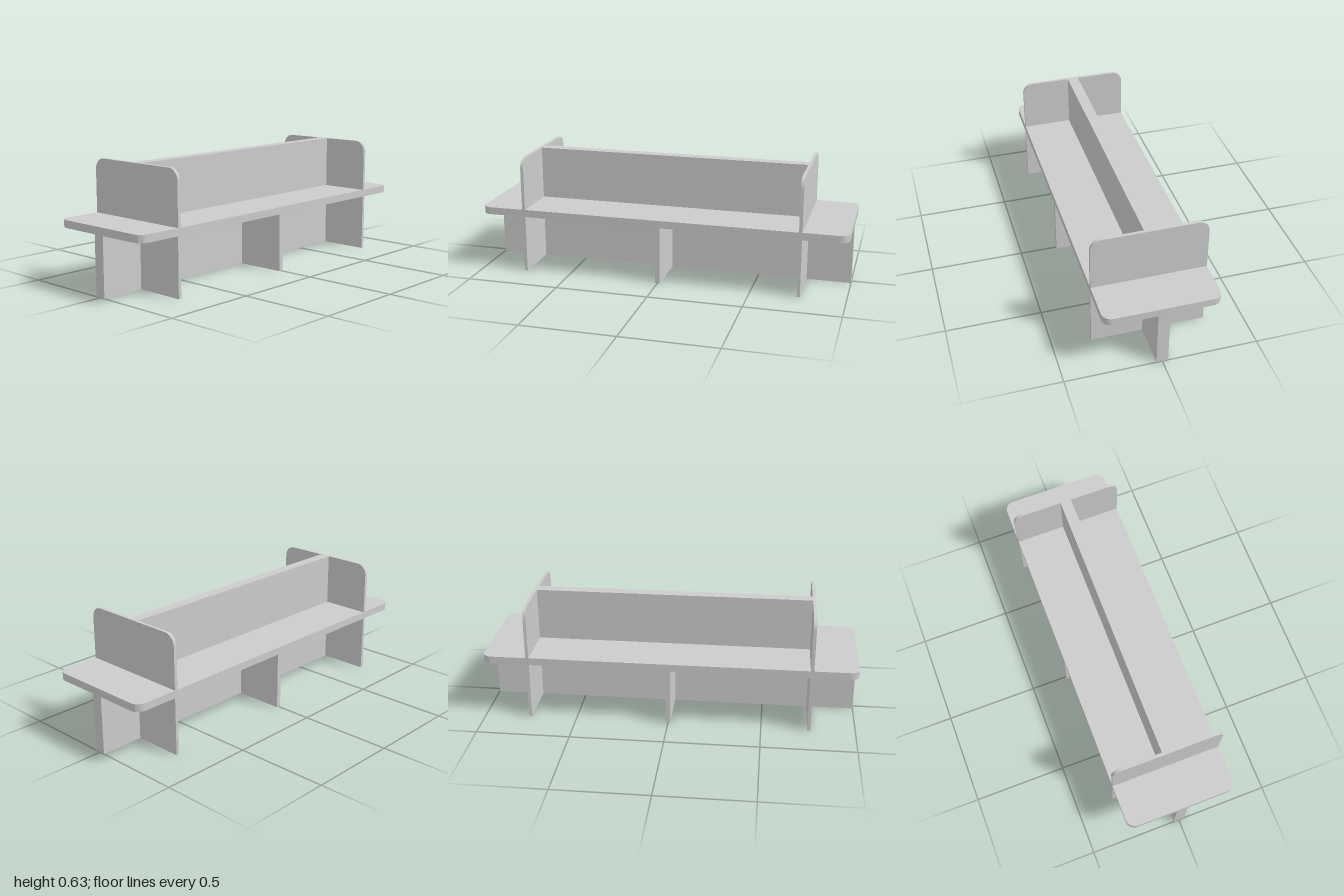
import * as THREE from 'three';
import { toCreasedNormals } from 'three/addons/utils/BufferGeometryUtils.js';

const material = new THREE.MeshStandardMaterial({ color: 0xcccccc });
const DEPTH = 0.6, SEAT_BOTTOM = 0.31, SEAT_TOP = 0.35, TOP = 0.635;

// Rectangle centred on x, standing on y0, with separate radii for bottom and top corners
function panelShape(width, y0, y1, rBottom, rTop) {
  const w = width / 2, s = new THREE.Shape();
  s.moveTo(-w + rBottom, y0);
  s.lineTo(w - rBottom, y0);
  if (rBottom) s.absarc(w - rBottom, y0 + rBottom, rBottom, -Math.PI / 2, 0);
  s.lineTo(w, y1 - rTop);
  s.absarc(w - rTop, y1 - rTop, rTop, 0, Math.PI / 2);
  s.lineTo(-w + rTop, y1);
  s.absarc(-w + rTop, y1 - rTop, rTop, Math.PI / 2, Math.PI);
  s.lineTo(-w, y0 + rBottom);
  if (rBottom) s.absarc(-w + rBottom, y0 + rBottom, rBottom, Math.PI, Math.PI * 1.5);
  return s;
}

function slab(shape, thickness, curveSegments) {
  const g = new THREE.ExtrudeGeometry(shape, { depth: thickness, bevelEnabled: false, curveSegments });
  g.translate(0, 0, -thickness / 2);
  return toCreasedNormals(g, 0.7);
}

export function createModel() {
  const group = new THREE.Group();
  const add = (name, geometry, x = 0, y = 0, z = 0) => {
    const mesh = new THREE.Mesh(geometry, material);
    mesh.name = name;
    mesh.position.set(x, y, z);
    group.add(mesh);
  };
  const box = (name, w, h, d, x, y0) => add(name, new THREE.BoxGeometry(w, h, d), x, y0 + h / 2);

  // Seat board with rounded corners
  const seat = slab(panelShape(2, -DEPTH / 2, DEPTH / 2, 0.05, 0.05), SEAT_TOP - SEAT_BOTTOM, 6);
  seat.rotateX(-Math.PI / 2);
  add('seat', seat, 0, (SEAT_TOP + SEAT_BOTTOM) / 2);

  // Spine under the seat and backrest above it
  box('spine', 2, SEAT_BOTTOM, 0.06, 0, 0);
  box('backrest', 1.5, TOP - SEAT_TOP, 0.06, 0, SEAT_TOP);

  // Cross legs
  box('middleLeg', 0.025, SEAT_BOTTOM, DEPTH, 0, 0);
  for (const [side, sign] of [['left', 1], ['right', -1]]) {
    box(side + 'Leg', 0.017, SEAT_BOTTOM, DEPTH, sign * 0.754, 0);

    // Armrest panel with rounded top corners
    const arm = slab(panelShape(DEPTH, SEAT_TOP, TOP, 0, 0.058), 0.017, 3);
    arm.rotateY(Math.PI / 2);
    add(side + 'Armrest', arm, sign * 0.754);
  }
  return group;
}
